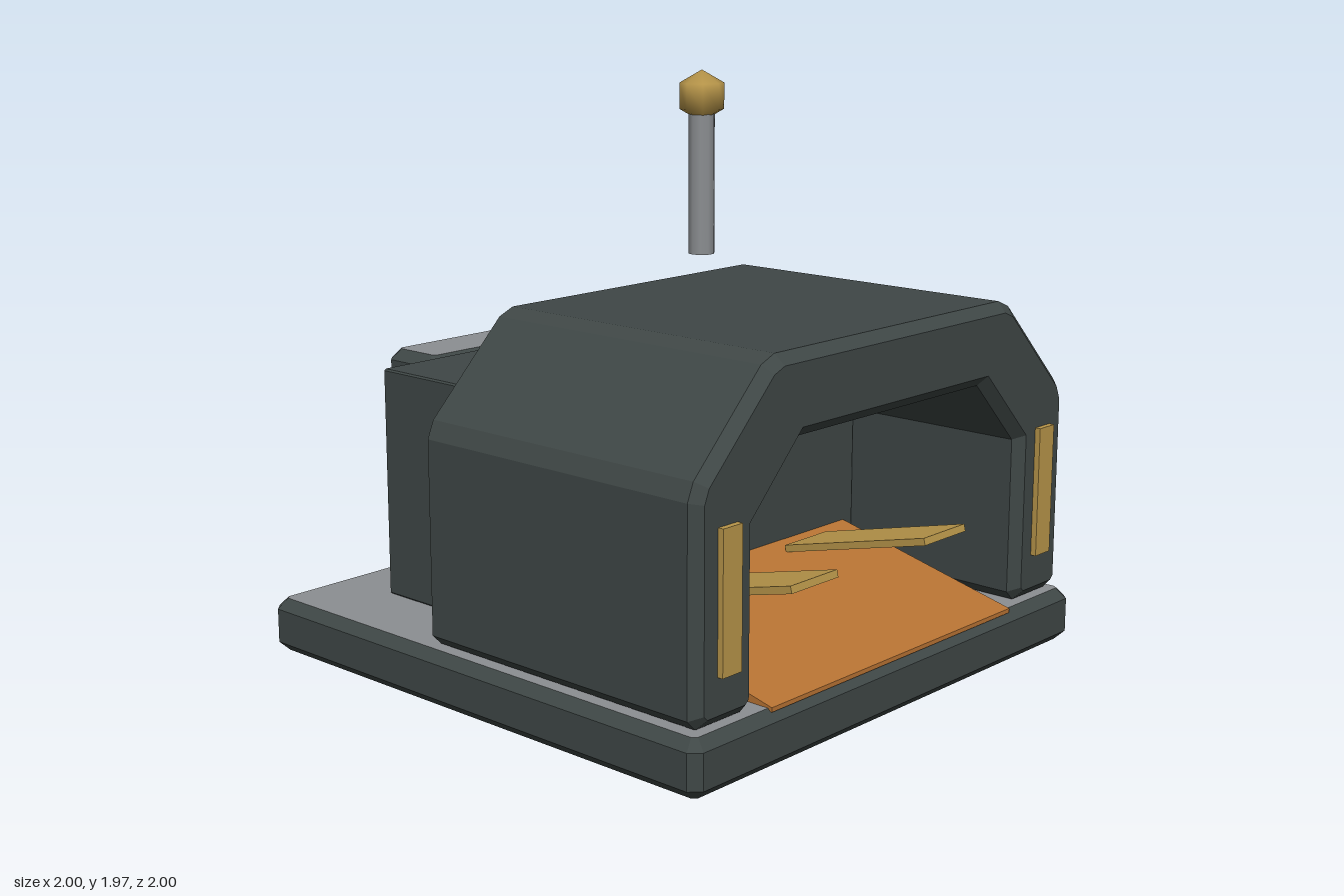
import * as THREE from 'three';

const mat = (name, color) => Object.assign(new THREE.MeshStandardMaterial({ color }), { name });

// Extrude an outline with a single-step chamfer that stays inside the outline
function chamferExtrude(points, length, c) {
  const shape = new THREE.Shape(points.map(([x, y]) => new THREE.Vector2(x, y)));
  const geo = new THREE.ExtrudeGeometry(shape, {
    depth: length - 2 * c, bevelEnabled: true, bevelSegments: 1,
    bevelThickness: c, bevelSize: c, bevelOffset: -c,
  });
  return geo.translate(0, 0, c);
}

// Upright chamfered box; group 0 is top and bottom, group 1 the sides and chamfers
function chamferBox(x, y0, y1, z0, z1, c) {
  const d = (z1 - z0) / 2;
  const outline = [
    [x, -d + c], [x, d - c], [x - c, d], [-x + c, d],
    [-x, d - c], [-x, -d + c], [-x + c, -d], [x - c, -d],
  ];
  return chamferExtrude(outline, y1 - y0, c)
    .rotateX(-Math.PI / 2).translate(0, y0, (z0 + z1) / 2);
}

export function createModel() {
  const group = new THREE.Group();
  const dark = mat('dark slate', 0x3f4746);
  const grey = mat('light grey', 0x8c8f92);
  const copper = mat('copper', 0xb87333);
  const gold = mat('gold', 0xb8964a);

  const add = (name, geo, material) => {
    const mesh = new THREE.Mesh(geo, material);
    mesh.name = name;
    group.add(mesh);
    return mesh;
  };

  // Floor slab
  add('base', chamferBox(1, 0, 0.19, -1, 1, 0.035), [grey, dark]);

  // Arched shell: right half of the outline, mirrored to close it
  const outer = [[0.725, 0.195], [0.925, 0.195], [0.96, 0.23], [0.96, 0.89], [0.935, 0.95], [0.64, 1.245], [0.58, 1.27]];
  const inner = [[0.47, 1.0], [0.69, 0.775], [0.69, 0.23]];
  const flip = (pts) => pts.map(([x, y]) => [-x, y]).reverse();
  const arch = chamferExtrude([...outer, ...flip(outer), ...flip(inner), ...inner], 1.19, 0.035);
  add('archShell', arch.translate(0, 0, -0.225), dark);

  // Inner block closing the arch, and the rear unit behind it
  add('innerBlock', chamferBox(0.69, 0.19, 1.0, -0.73, 0.25, 0.006), dark);
  add('rearUnit', chamferBox(0.46, 0.19, 1.0, -1, -0.73, 0.037), [grey, dark]);

  // Entrance ramp, a wedge rising to the inner block
  const wedge = new THREE.Shape([[-0.98, 0.18], [-0.25, 0.18], [-0.25, 0.37], [-0.98, 0.195]]
    .map(([x, y]) => new THREE.Vector2(x, y)));
  const ramp = new THREE.ExtrudeGeometry(wedge, { depth: 1.27, bevelEnabled: false });
  add('ramp', ramp.translate(0, 0, -0.635).rotateY(Math.PI / 2), copper);

  for (const s of [1, -1]) {
    // Tilted shelf inside the opening
    const shelf = add('shelf', new THREE.BoxGeometry(0.23, 0.025, 0.61), gold);
    shelf.position.set(s * 0.345, 0.435, 0.61);
    shelf.rotation.x = -0.24;
    // Front light strip
    add('frontStrip', new THREE.BoxGeometry(0.086, 0.455, 0.06), gold)
      .position.set(s * 0.823, 0.578, 0.955);
  }

  // Mast with a faceted knob
  const mast = add('mast', new THREE.CylinderGeometry(0.05, 0.05, 0.53, 10), grey);
  mast.position.set(0.65, 1.54, -0.46);
  mast.rotation.y = Math.PI / 2;
  add('mastKnob', new THREE.SphereGeometry(0.097, 8, 3), gold).position.set(0.65, 1.868, -0.46);

  return group;
}
